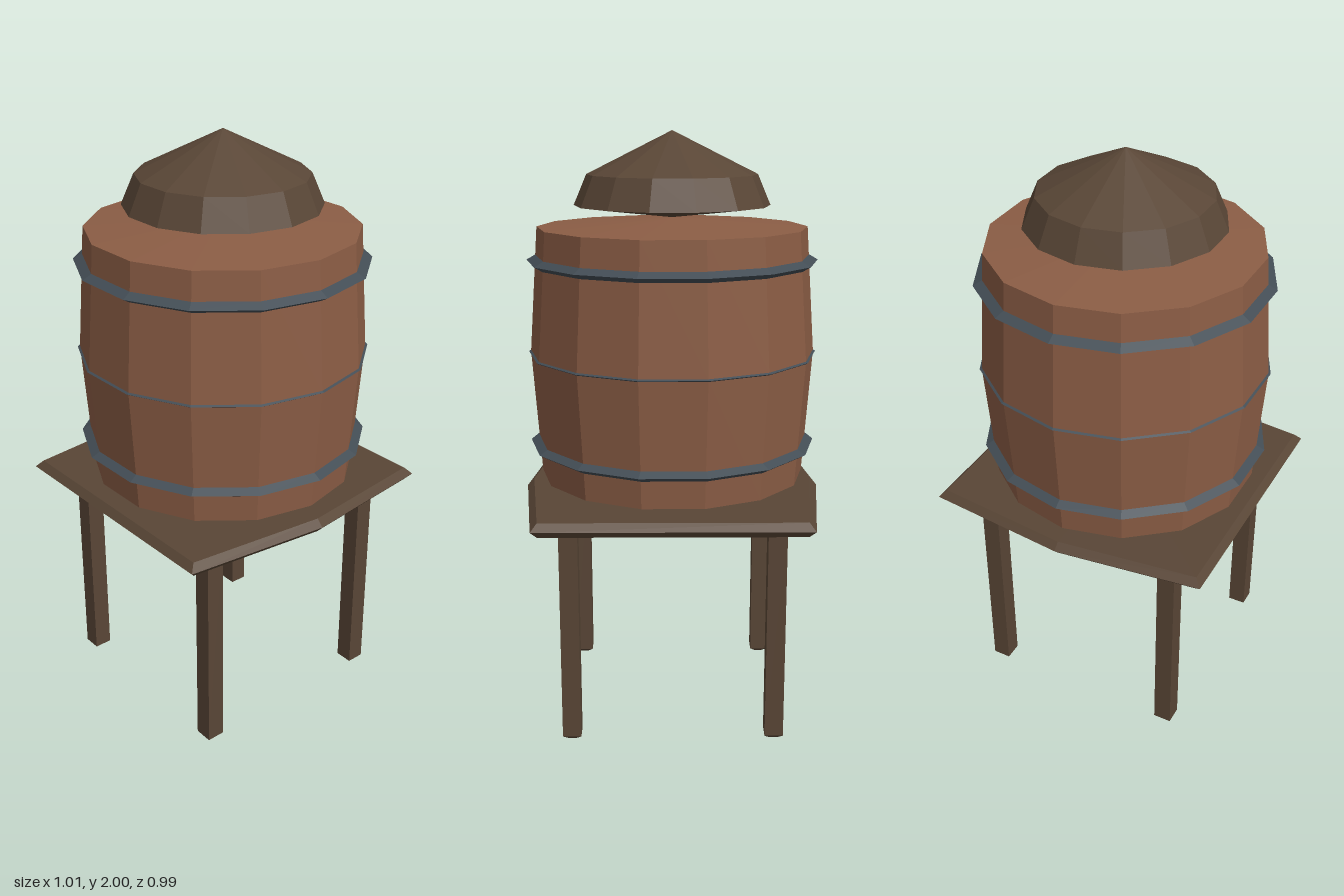
import * as THREE from 'three';

const mat = (name, color) => {
  const m = new THREE.MeshStandardMaterial({ color, flatShading: true });
  m.name = name;
  return m;
};

// Joins scaled copies of an outline (counter-clockwise seen from above) at rising heights
function loft(outline, levels) {
  const pos = [];
  const n = outline.length;
  const at = ([y, s], i) => [outline[i % n][0] * s, y, outline[i % n][1] * s];
  for (let k = 0; k < levels.length - 1; k++) {
    for (let i = 0; i < n; i++) {
      const a = at(levels[k], i), b = at(levels[k], i + 1);
      const c = at(levels[k + 1], i + 1), d = at(levels[k + 1], i);
      if (levels[k][1] > 0) pos.push(...a, ...b, ...c);
      if (levels[k + 1][1] > 0) pos.push(...a, ...c, ...d);
      else if (levels[k][1] === 0) continue;
    }
  }
  const g = new THREE.BufferGeometry();
  g.setAttribute('position', new THREE.Float32BufferAttribute(pos, 3));
  g.computeVertexNormals();
  return g;
}

export function createModel() {
  const SIDES = 14;
  const group = new THREE.Group();
  group.name = 'barrelOnStand';
  const barrelWood = mat('barrelWood', 0x8b5d45);
  const darkWood = mat('darkWood', 0x594636);
  const iron = mat('iron', 0x434d55);

  const add = (name, geometry, material, x = 0, y = 0, z = 0) => {
    const mesh = new THREE.Mesh(geometry, material);
    mesh.name = name;
    mesh.position.set(x, y, z);
    group.add(mesh);
  };
  const turned = (profile) => new THREE.LatheGeometry(
    profile.map(([r, y]) => new THREE.Vector2(r, y)), SIDES, Math.PI / 2);

  // Barrel with shallow cone ends, and its floating lid
  add('barrel', turned([[0, 0.82], [0.45, 0.85], [0.48, 1.27], [0.45, 1.69], [0, 1.72]]), barrelWood);
  add('lid', turned([[0, 1.72], [0.325, 1.76], [0.282, 1.86], [0, 2]]), darkWood);

  // Hoops with a triangular section
  const hoop = new THREE.TorusGeometry(0.467, 0.02, 3, SIDES).rotateX(Math.PI / 2);
  [0.96, 1.27, 1.58].forEach((y) => add('hoop', hoop, iron, 0, y));

  // Platform: bevelled board with bulging sides
  const board = [[0.505, 0], [0.447, -0.495], [-0.447, -0.495], [-0.505, 0], [-0.447, 0.495], [0.447, 0.495]];
  add('platform', loft(board, [[0.768, 0], [0.768, 0.955], [0.792, 1], [0.816, 0.955], [0.816, 0]]), darkWood);

  // Four square legs with pointed feet
  const h = 0.031;
  const leg = loft([[h, h], [h, -h], [-h, -h], [-h, h]], [[0, 0], [0.004, 0.4], [0.02, 1], [0.78, 1], [0.78, 0]]);
  for (const x of [-0.34, 0.34]) for (const z of [-0.34, 0.34]) add('leg', leg, darkWood, x, 0, z);

  return group;
}
